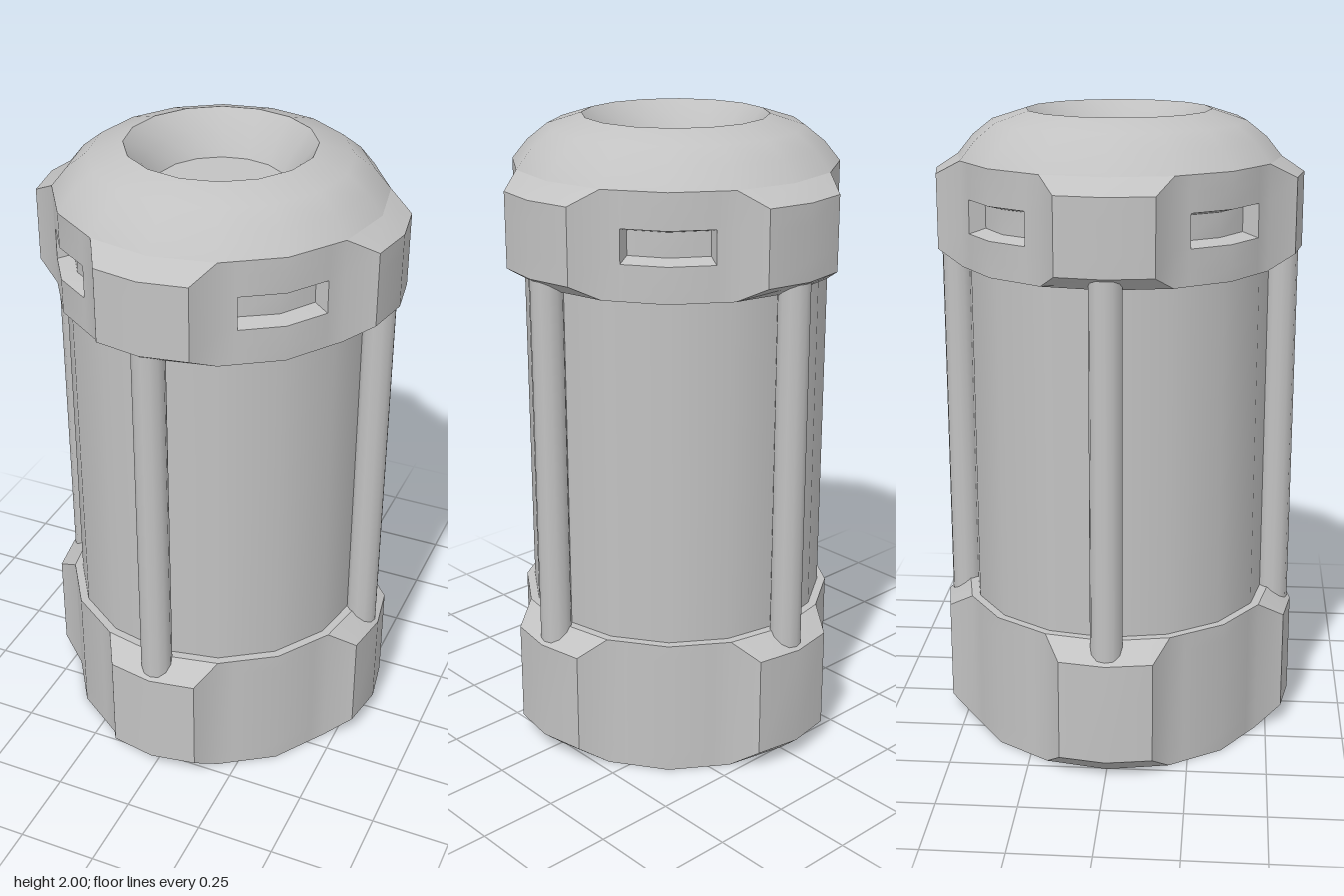
import * as THREE from 'three';
import { toCreasedNormals } from 'three/addons/utils/BufferGeometryUtils.js';

const R = 0.505; // collar radius
const CREASE = 0.55;

const polar = (deg, r) => {
  const a = THREE.MathUtils.degToRad(deg);
  return [r * Math.sin(a), r * Math.cos(a)];
};

// One quarter of the collar outline as [plain point, raised lug point], in x,z
const c1 = polar(22.5, R), c2 = polar(45, R), c3 = polar(67.5, R);
const QUARTER = [
  [polar(0, R), [0, 0.575]],
  [c1, [0.145, 0.55]],
  [c1, c1],
  [[0.24, 0.435], [0.24, 0.435]],
  [c2, c2],
  [[0.435, 0.24], [0.435, 0.24]],
  [c3, c3],
  [c3, [0.55, 0.145]],
];

const turn = ([x, z], times) => {
  for (let i = 0; i < times; i++) [x, z] = [z, -x];
  return [x, z];
};

// Collects quads, dropping collapsed triangles
function surface() {
  const out = [];
  const tri = (a, b, c) => {
    const area = b.clone().sub(a).cross(c.clone().sub(a)).length();
    if (area > 1e-7) for (const p of [a, b, c]) out.push(p.x, p.y, p.z);
  };
  return {
    quad(a, b, c, d) { tri(a, b, c); tri(a, c, d); },
    geometry() {
      const g = new THREE.BufferGeometry();
      g.setAttribute('position', new THREE.Float32BufferAttribute(out, 3));
      return toCreasedNormals(g, CREASE);
    },
  };
}

// Collar from rings of [height, lug raised 0/1, scale]; slotRing leaves four openings
function collarGeometry(rings, slotRing = -1) {
  const s = surface();
  const n = QUARTER.length;
  const at = (col, [y, raised, scale]) => {
    const q = Math.floor(col / n) % 4;
    const [x, z] = turn(QUARTER[col % n][raised], q);
    return new THREE.Vector3(x * scale, y, z * scale);
  };
  for (let j = 0; j < rings.length - 1; j++) {
    for (let i = 0; i < 4 * n; i++) {
      if (j === slotRing && (i % n === 3 || i % n === 4)) continue;
      s.quad(at(i, rings[j]), at(i + 1, rings[j]), at(i + 1, rings[j + 1]), at(i, rings[j + 1]));
    }
  }
  return s.geometry();
}

// Tapered pocket bent around the corner between two lugs
function slotGeometry(low, high) {
  const s = surface();
  const h = Math.SQRT1_2, taper = 0.014;
  const outer = [], inner = [];
  for (const [col, top] of [[3, 0], [4, 0], [5, 0], [5, 1], [4, 1], [3, 1]]) {
    const [x, z] = QUARTER[col][0];
    const depth = (x + z) * h - 0.05, side = (x - z) * h * 0.88;
    outer.push(new THREE.Vector3(x, top ? high : low, z));
    inner.push(new THREE.Vector3((depth + side) * h, top ? high - taper : low + taper, (depth - side) * h));
  }
  for (let k = 0; k < 6; k++) {
    const m = (k + 1) % 6;
    s.quad(outer[k], outer[m], inner[m], inner[k]);
  }
  s.quad(inner[0], inner[1], inner[4], inner[5]);
  s.quad(inner[1], inner[2], inner[3], inner[4]);
  return s.geometry();
}

export function createModel() {
  const model = new THREE.Group();
  model.name = 'canister';
  const metal = new THREE.MeshStandardMaterial({ color: 0xc2c2c2 });
  metal.name = 'grey metal';

  const add = (name, geometry) => {
    const mesh = new THREE.Mesh(geometry, metal);
    mesh.name = name;
    model.add(mesh);
    return mesh;
  };

  // Base collar with closed underside
  add('baseCollar', collarGeometry([
    [0, 0, 0], [0, 0, 1], [0.06, 1, 1], [0.385, 1, 1], [0.44, 0, 1], [0.44, 0, 0.9],
  ]));

  // Upper collar with four slot openings
  const low = 1.645, high = 1.748;
  add('upperCollar', collarGeometry([
    [1.535, 0, 0.9], [1.535, 0, 1], [1.58, 1, 1], [low, 1, 1], [high, 1, 1], [1.812, 1, 1], [1.858, 0, 1],
  ], 3));
  const slot = slotGeometry(low, high);
  for (let i = 0; i < 4; i++) add('slot', slot).rotation.y = i * Math.PI / 2;

  // Main cylinder
  const body = new THREE.CylinderGeometry(0.478, 0.478, 1.12, 16, 1, true);
  add('body', body).position.y = 0.9875;

  // Domed cap with funnel opening
  const profile = [
    [R, 1.858], [0.457, 1.917], [0.395, 1.966], [0.288, 2], [0.235, 1.935], [0.2, 1.87], [0, 1.87],
  ].map(([x, y]) => new THREE.Vector2(x, y));
  add('domeCap', toCreasedNormals(new THREE.LatheGeometry(profile, 16), CREASE));

  // Four rods running between the lugs
  const rod = new THREE.CylinderGeometry(0.05, 0.05, 1.18, 12);
  for (let i = 0; i < 4; i++) {
    const [x, z] = polar(i * 90, 0.514);
    add('rod', rod).position.set(x, 0.982, z);
  }
  return model;
}
